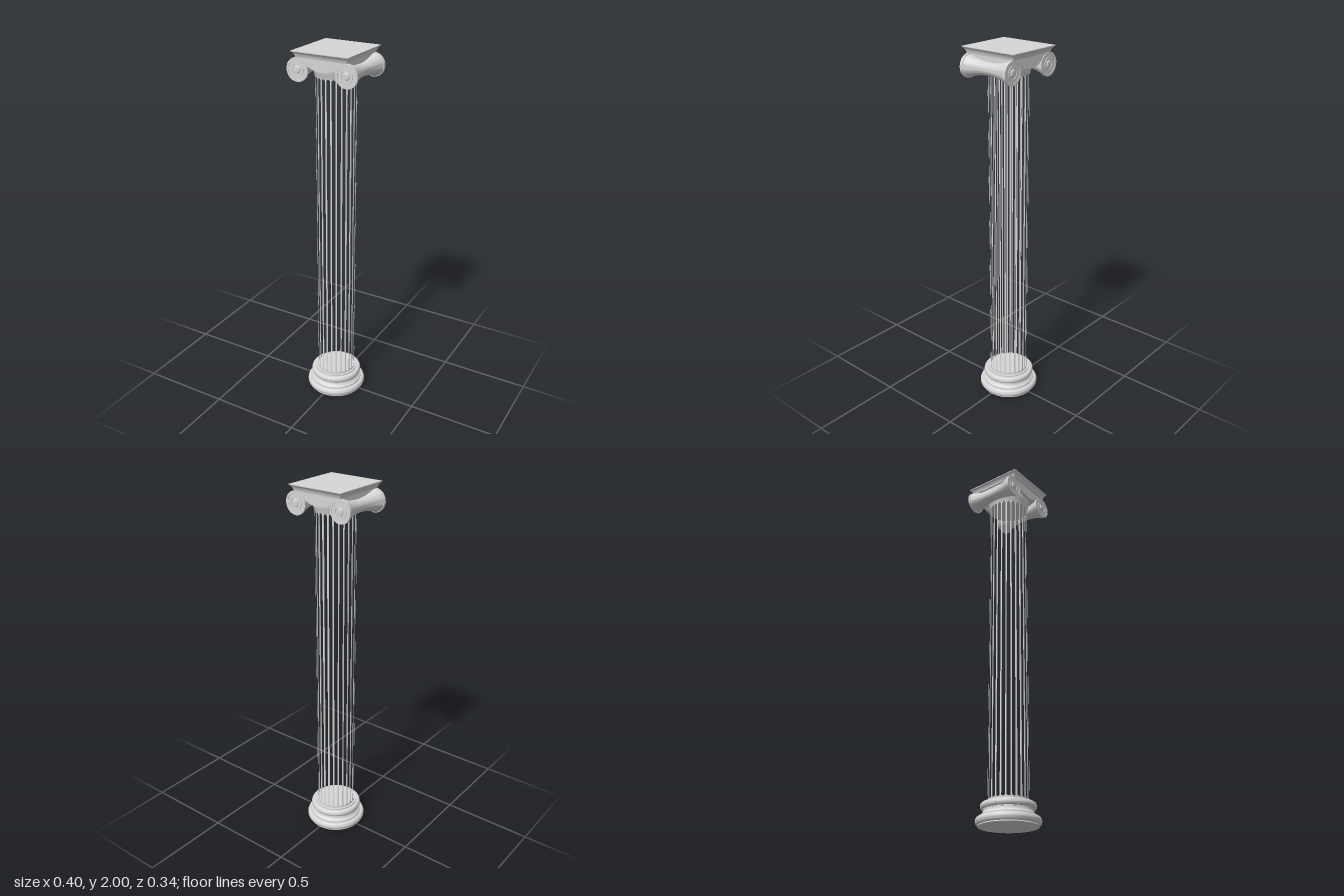
import * as THREE from 'three';
import { toCreasedNormals } from 'three/addons/utils/BufferGeometryUtils.js';

const stone = new THREE.MeshStandardMaterial({ color: 0xd6d6d6 });
const stoneThin = new THREE.MeshStandardMaterial({ color: 0xd6d6d6, side: THREE.DoubleSide });
stone.name = 'stone';
stoneThin.name = 'stone thin';

const FLUTES = 24, RADIUS = 0.106, FOOT = 0.125, HEAD = 1.872;

function part(name, geometry, material = stone) {
  const mesh = new THREE.Mesh(geometry, material);
  mesh.name = name;
  return mesh;
}

// Turned solid from [radius, height] pairs listed bottom to top
function turned(points, segments = 48, crease = 0.6) {
  const profile = points.map(([r, y]) => new THREE.Vector2(r, y));
  return toCreasedNormals(new THREE.LatheGeometry(profile, segments), crease);
}

// Half-round moulding bulging outwards
function bulge(radius, y0, y1, depth, n = 10) {
  return Array.from({ length: n + 1 }, (_, i) => {
    const a = -Math.PI / 2 + (Math.PI * i) / n;
    return [radius - depth + depth * Math.cos(a), (y0 + y1) / 2 + ((y1 - y0) / 2) * Math.sin(a)];
  });
}

// One narrow strip between two round-ended open flutes
function filletGeometry() {
  const half = 0.0103, pitch = (Math.PI * 2) / FLUTES;
  const low = FOOT + 0.008, high = HEAD - 0.008;
  const ys = [FOOT];
  for (let i = 0; i <= 8; i++) ys.push(low + half * (1 - Math.cos((i / 8) * Math.PI / 2)));
  const mirrored = ys.map((y) => FOOT + HEAD - y).reverse();
  const pos = [], index = [];
  [...ys, ...mirrored].forEach((y, k) => {
    const d = THREE.MathUtils.clamp(Math.min(y - low, high - y), 0, half);
    const open = Math.sqrt(half * half - (half - d) ** 2) / RADIUS;
    const a = pitch / 2 - open;
    for (const t of [-a, a]) pos.push(RADIUS * Math.sin(t), y, RADIUS * Math.cos(t));
    if (k > 0) {
      const b = 2 * k;
      index.push(b - 2, b - 1, b + 1, b - 2, b + 1, b);
    }
  });
  const g = new THREE.BufferGeometry();
  g.setAttribute('position', new THREE.Float32BufferAttribute(pos, 3));
  g.setIndex(index);
  g.computeVertexNormals();
  return g;
}

function createBase() {
  const profile = [
    [0, 0], [0.155, 0],
    ...bulge(0.167, 0.005, 0.046, 0.014),
    [0.145, 0.046], [0.145, 0.054], [0.138, 0.058], [0.131, 0.065], [0.128, 0.073], [0.128, 0.079],
    [0.131, 0.079],
    ...bulge(0.143, 0.083, 0.117, 0.012),
    [0.12, 0.117], [0.12, 0.124], [0.108, 0.124], [0.108, 0.131], [0, 0.131],
  ];
  return part('base', turned(profile, 64));
}

function createShaft() {
  const shaft = new THREE.Group();
  shaft.name = 'shaft';
  const geometry = filletGeometry();
  for (let i = 0; i < FLUTES; i++) {
    const strip = part('fillet', geometry, stoneThin);
    strip.rotation.y = (i * Math.PI * 2) / FLUTES;
    shaft.add(strip);
  }
  return shaft;
}

// Scroll roll with a waisted body, stepped end discs and round eyes
function scrollGeometry() {
  const end = [
    [0, 0.153], [0.009, 0.152], [0.016, 0.149], [0.018, 0.144], [0.027, 0.144], [0.027, 0.147],
    [0.036, 0.147], [0.036, 0.144], [0.05, 0.144], [0.05, 0.147], [0.061, 0.147], [0.061, 0.133],
  ];
  const body = [];
  for (let i = -12; i <= 12; i++) {
    const t = i / 12;
    body.push([0.033 + 0.025 * t * t, 0.133 * t]);
  }
  const profile = [...end.map(([r, z]) => [r, -z]), ...body, ...[...end].reverse()];
  return turned(profile, 40).rotateX(Math.PI / 2);
}

// Face band joining the scrolls, with a sagging lower edge
function bandGeometry() {
  const s = new THREE.Shape();
  s.moveTo(-0.138, 1.969);
  s.lineTo(-0.138, 1.93);
  s.lineTo(-0.085, 1.93);
  s.quadraticCurveTo(0, 1.878, 0.085, 1.93);
  s.lineTo(0.138, 1.93);
  s.lineTo(0.138, 1.969);
  return new THREE.ExtrudeGeometry(s, { depth: 0.0135, bevelEnabled: false, curveSegments: 16 });
}

function createCapital() {
  const capital = new THREE.Group();
  capital.name = 'capital';

  // Round drum below the scrolls
  capital.add(part('echinus', turned([
    [0, 1.864], [0.108, 1.864], [0.112, 1.88], [0.117, 1.895], [0.12, 1.91], [0.12, 1.94], [0, 1.94],
  ])));

  const core = part('core', new THREE.BoxGeometry(0.27, 0.042, 0.262));
  core.position.y = 1.948;
  capital.add(core);

  const scroll = scrollGeometry(), band = bandGeometry();
  for (const side of [-1, 1]) {
    const roll = part('scroll', scroll);
    roll.position.set(side * 0.138, 1.905, 0);
    capital.add(roll);
    const face = part('faceBand', band);
    face.position.z = side > 0 ? 0.13 : -0.1435;
    capital.add(face);
  }

  // Square slab with a hollow moulded edge
  const profile = [[0, 1.966], [0.143, 1.966], [0.145, 1.975], [0.149, 1.984], [0.155, 1.992], [0.16, 1.996],
    [0.16, 2], [0, 2]].map(([r, y]) => [r * Math.SQRT2, y]);
  const slab = turned(profile, 4, 0.5).rotateY(Math.PI / 4).scale(1, 1, 1.055);
  capital.add(part('abacus', slab));
  return capital;
}

export function createModel() {
  const model = new THREE.Group();
  model.name = 'column';
  model.add(createBase(), createShaft(), createCapital());
  return model;
}
